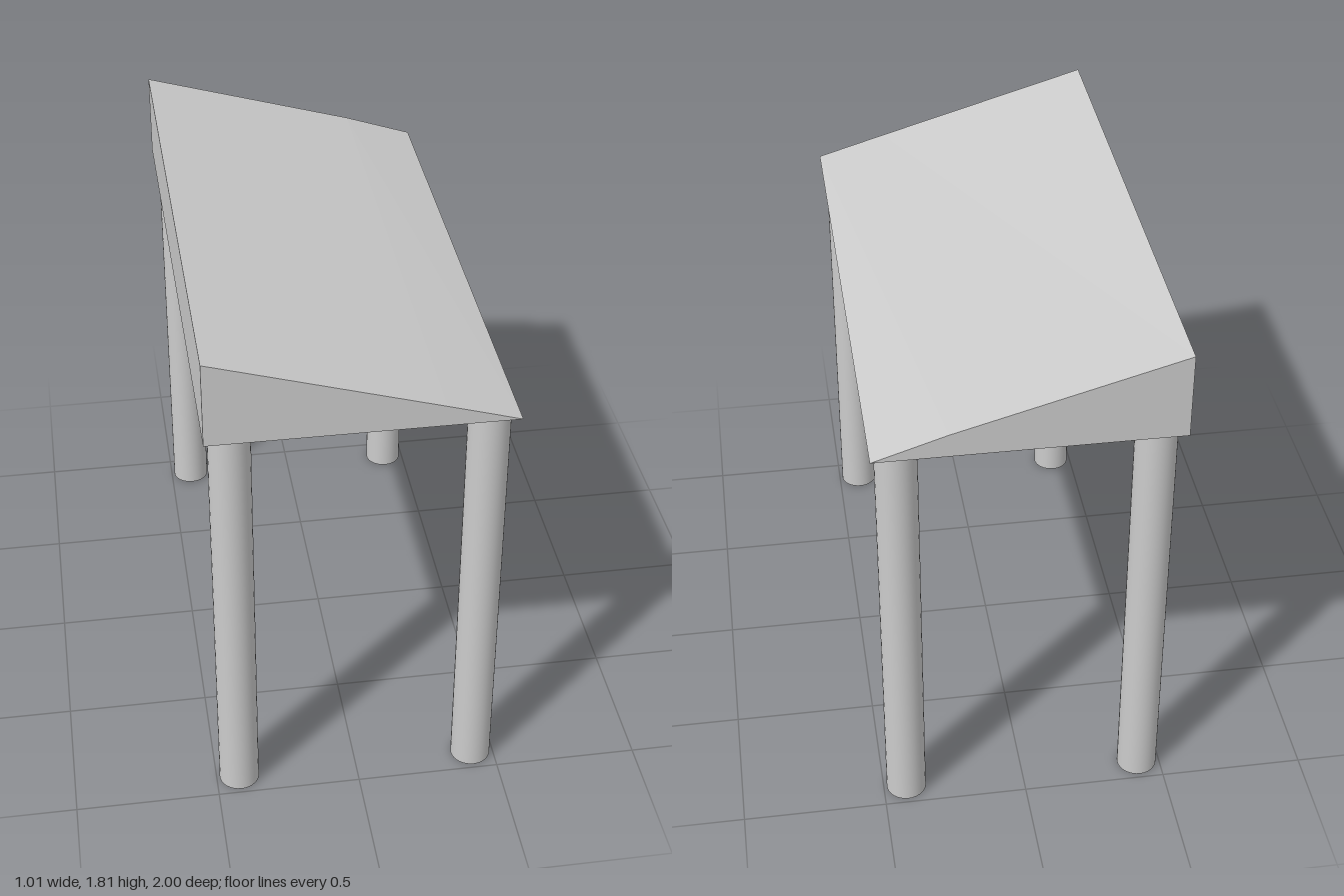
import * as THREE from 'three';

const material = new THREE.MeshStandardMaterial({ color: 0xcccccc });
const UNDERSIDE = 1.514; // height of the leg tops

// Wedge-shaped roof: tall along -x, sloping to a thin edge along +x
function createRoof() {
  const profile = new THREE.Shape([
    new THREE.Vector2(-0.507, UNDERSIDE),
    new THREE.Vector2(0.507, UNDERSIDE),
    new THREE.Vector2(0.26, 1.588),
    new THREE.Vector2(-0.507, 1.814),
  ]);
  const geometry = new THREE.ExtrudeGeometry(profile, { depth: 2, bevelEnabled: false });
  geometry.translate(0, 0, -1);

  // Slight bulge in the sloping edge of the back gable
  const pos = geometry.attributes.position;
  for (let i = 0; i < pos.count; i++) {
    if (pos.getZ(i) < 0 && Math.abs(pos.getX(i) - 0.26) < 0.01) pos.setY(i, 1.596);
  }
  geometry.computeVertexNormals();

  const roof = new THREE.Mesh(geometry, material);
  roof.name = 'roof';
  return roof;
}

export function createModel() {
  const model = new THREE.Group();
  model.name = 'shelter';
  model.add(createRoof());

  // Four round legs, one near each corner
  const legGeometry = new THREE.CylinderGeometry(0.07, 0.07, UNDERSIDE, 32);
  for (const [xName, x] of [['Left', 0.419], ['Right', -0.419]]) {
    for (const [zName, z] of [['front', 0.914], ['back', -0.914]]) {
      const leg = new THREE.Mesh(legGeometry, material);
      leg.name = `${zName}${xName}Leg`;
      leg.position.set(x, UNDERSIDE / 2, z);
      model.add(leg);
    }
  }
  return model;
}
